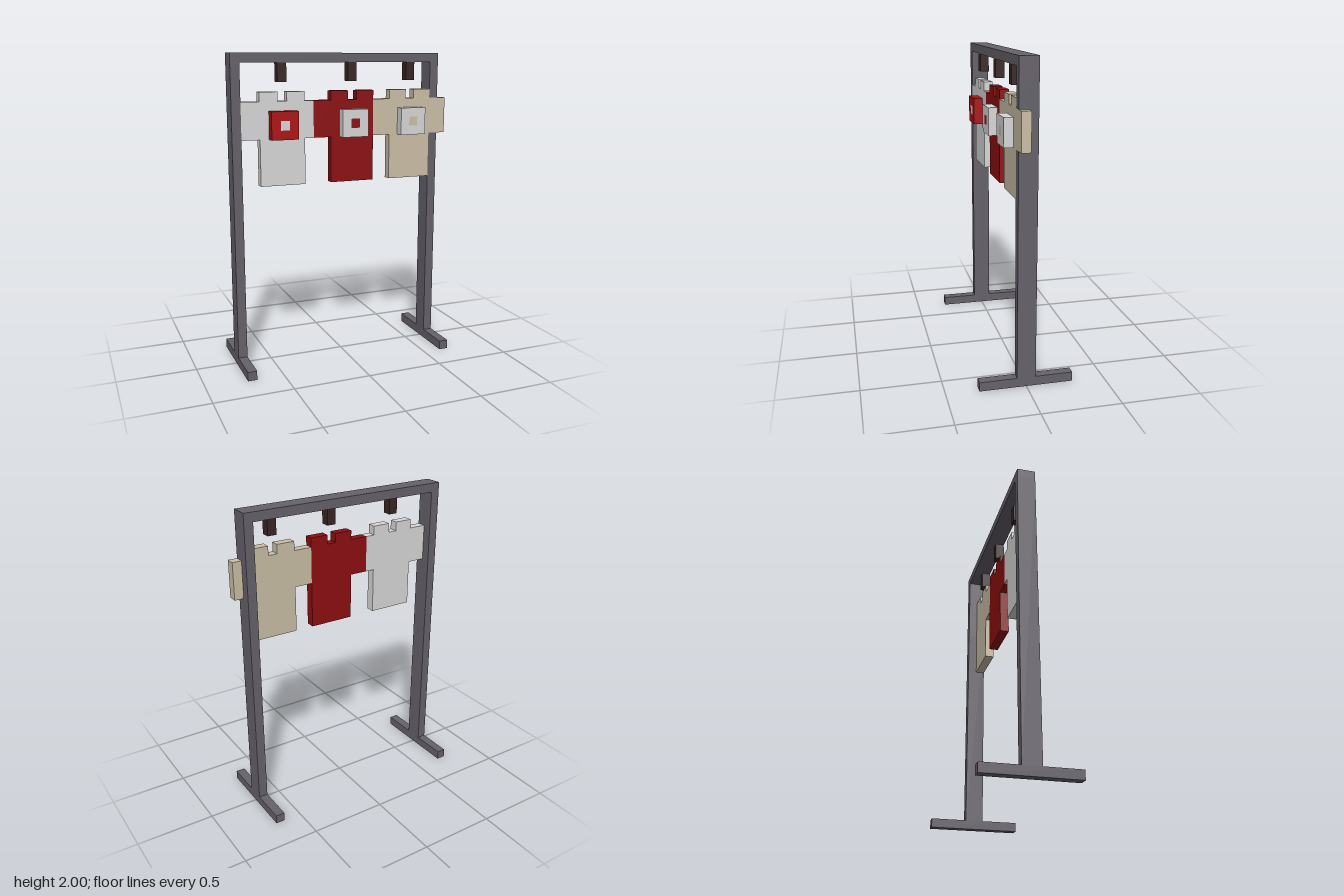
import * as THREE from 'three';

// The model sits on a grid: 25 cells wide, 34 cells tall
const U = 2 / 34;
const X0 = -12.5;

const mat = (name, color) => {
  const m = new THREE.MeshStandardMaterial({ color });
  m.name = name;
  return m;
};

// Box between two grid corners
function block(name, material, [x1, y1, z1], [x2, y2, z2]) {
  const geo = new THREE.BoxGeometry((x2 - x1) * U, (y2 - y1) * U, (z2 - z1) * U);
  const mesh = new THREE.Mesh(geo, material);
  mesh.name = name;
  mesh.position.set(((x1 + x2) / 2 + X0) * U, ((y1 + y2) / 2) * U, ((z1 + z2) / 2) * U);
  return mesh;
}

// One-cell-thick slab cut from a grid outline, with an optional hole
function slab(name, material, outline, z, hole) {
  const pts = (list) => list.map(([x, y]) => new THREE.Vector2((x + X0) * U, y * U));
  const shape = new THREE.Shape(pts(outline));
  if (hole) shape.holes.push(new THREE.Path(pts(hole)));
  const geo = new THREE.ExtrudeGeometry(shape, { depth: U, bevelEnabled: false });
  const mesh = new THREE.Mesh(geo, material);
  mesh.name = name;
  mesh.position.z = z * U;
  return mesh;
}

const square = (x, y, s) => [[x, y], [x + s, y], [x + s, y + s], [x, y + s]];

// Shirt outline: torso 5 cells wide starting at x, sleeves, notched collar
function shirtOutline(x, leftSleeve, rightSleeve) {
  const r = x + 5;
  const right = rightSleeve ? [[r, 25], [r + rightSleeve, 25], [r + rightSleeve, 29]] : [];
  return [
    [x, 20], [r, 20], ...right, [r, 29],
    [r, 30], [x + 3, 30], [x + 3, 29], [x + 2, 29], [x + 2, 30], [x, 30],
    [x, 29], [x - leftSleeve, 29], [x - leftSleeve, 25], [x, 25],
  ];
}

export function createModel() {
  const frameGrey = mat('frame grey', 0x65626a);
  const hookBrown = mat('hook brown', 0x3a2525);
  const white = mat('white cloth', 0xd8d8d8);
  const darkRed = mat('dark red cloth', 0x8f0e11);
  const red = mat('bright red', 0xae1012);
  const beige = mat('beige cloth', 0xcbbfa6);

  const model = new THREE.Group();
  model.name = 'clothesRack';

  // Frame: feet, posts and top bar
  const frame = new THREE.Group();
  frame.name = 'frame';
  for (const x of [0, 23]) frame.add(block('foot', frameGrey, [x, 0, -5], [x + 1, 1, 5]));
  frame.add(
    block('rightPost', frameGrey, [0, 1, -1], [1, 33, 1]),
    // The left post is notched where the sleeve passes through
    block('leftPostLower', frameGrey, [23, 1, -1], [24, 25, 1]),
    block('leftPostNotch', frameGrey, [23, 25, -1], [24, 29, 0]),
    block('leftPostUpper', frameGrey, [23, 29, -1], [24, 33, 1]),
    block('topBar', frameGrey, [0, 33, -1], [24, 34, 1]),
  );
  model.add(frame);

  // Three hanging shirts, each with a hook and a square badge
  const shirts = [
    { x: 3, sleeves: [2, 1], cloth: white, badge: red },
    { x: 11, sleeves: [2, 0], cloth: darkRed, badge: white },
    { x: 18, sleeves: [2, 2], cloth: beige, badge: white },
  ];
  for (const { x, sleeves, cloth, badge } of shirts) {
    const garment = new THREE.Group();
    garment.name = 'hangingShirt';
    // The badge is three cells wide, centred on the torso or one cell off the hook
    const bx = x + 1;
    garment.add(
      block('hook', hookBrown, [x + 2, 31, 0], [x + 3, 33, 1]),
      slab('shirt', cloth, shirtOutline(x, ...sleeves), 0),
      slab('badge', badge, square(bx, 25, 3), 1, square(bx + 1, 26, 1)),
      block('badgeCentre', cloth, [bx + 1, 26, 1], [bx + 2, 27, 2]),
    );
    model.add(garment);
  }
  return model;
}
